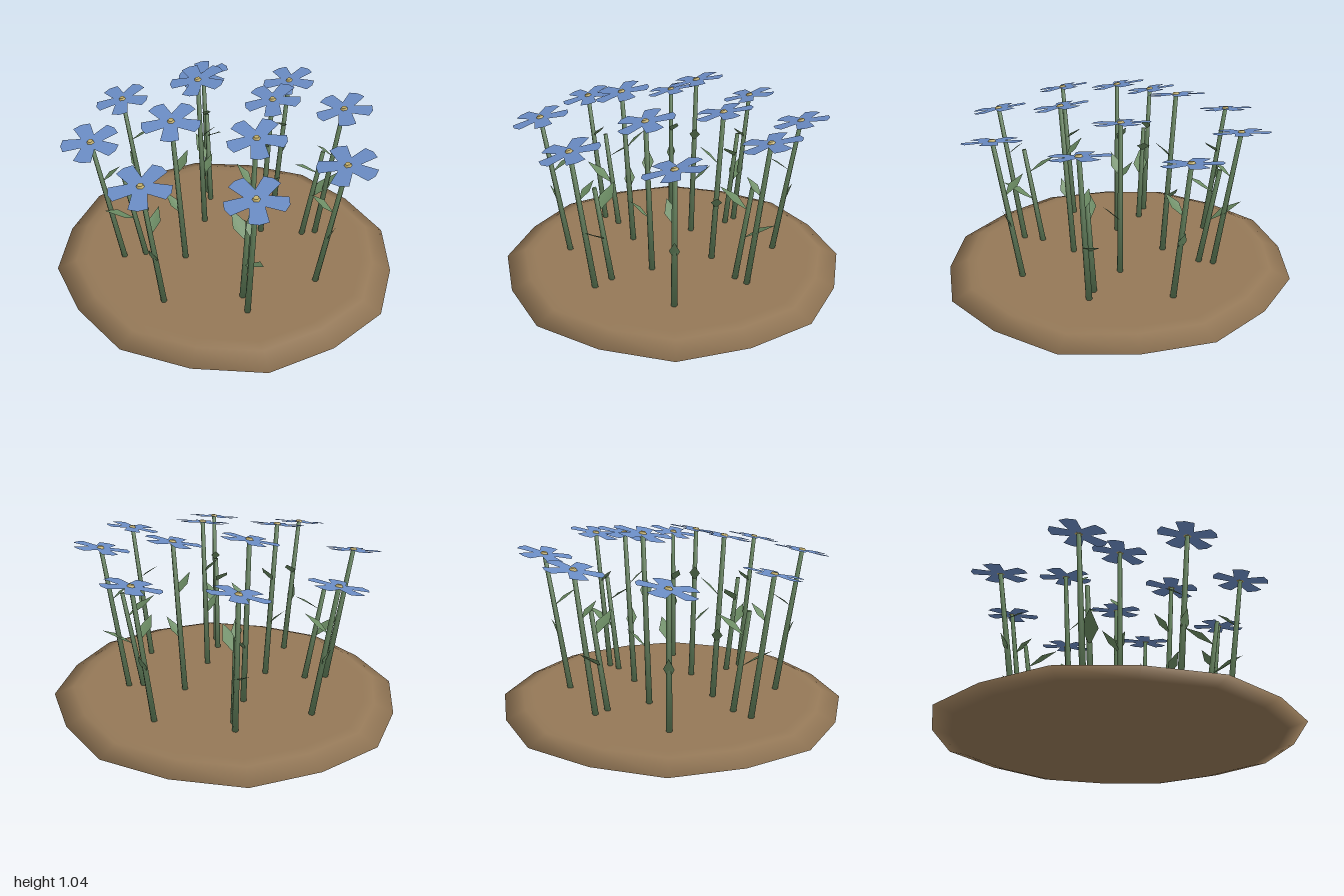
import * as THREE from 'three';

const mat = (name, color, side = THREE.FrontSide) => {
  const m = new THREE.MeshStandardMaterial({ color, side });
  m.name = name;
  return m;
};
const rad = THREE.MathUtils.degToRad;

export function createModel() {
  const soilMat = mat('soil brown', 0x947857);
  const stemMat = mat('stem green', 0x5f7d58);
  const leafMat = mat('leaf green', 0x6a8a62, THREE.DoubleSide);
  const petalMat = mat('petal blue', 0x6a8cc4, THREE.DoubleSide);
  const heartMat = mat('heart yellow', 0xc4b06c);

  const model = new THREE.Group();
  model.name = 'flowerPatch';
  const add = (parent, geometry, material, name) => {
    const mesh = new THREE.Mesh(geometry, material);
    mesh.name = name;
    parent.add(mesh);
    return mesh;
  };

  // Soil disc: 16-sided, slightly oval, with a bevelled rim
  const profile = [[0, 0], [0.9, 0], [1, 0.027], [0.89, 0.07], [0.83, 0.072], [0, 0.072]];
  const soil = new THREE.LatheGeometry(profile.map(([r, y]) => new THREE.Vector2(r, y)), 16);
  const sp = soil.attributes.position;
  for (let i = 0; i < sp.count; i++) {
    const k = Math.floor(i / profile.length) % 2 ? 0.975 : 1;
    sp.setXYZ(i, sp.getX(i) * k, sp.getY(i), sp.getZ(i) * k * 0.967);
  }
  add(model, soil, soilMat, 'soil');

  // Five blunt petals in one flat star
  const star = new THREE.Shape();
  for (let i = 0; i < 5; i++) {
    for (const [r, a] of [[0.062, -36], [0.152, -18], [0.157, 0], [0.152, 18]]) {
      const t = rad(i * 72 + a);
      star[i + a === -36 ? 'moveTo' : 'lineTo'](r * Math.cos(t), r * Math.sin(t));
    }
  }
  star.closePath();
  const petalGeo = new THREE.ShapeGeometry(star).rotateX(-Math.PI / 2);
  const heartGeo = new THREE.CylinderGeometry(0.014, 0.021, 0.012, 6);

  // Diamond leaf with a light fold, growing along +x
  const leafGeo = new THREE.BufferGeometry();
  leafGeo.setAttribute('position', new THREE.Float32BufferAttribute(
    [0, 0, 0, 0.09, 0.006, 0.036, 0.175, 0, 0, 0.08, 0.006, -0.036], 3));
  leafGeo.setIndex([0, 1, 2, 0, 2, 3]);
  leafGeo.computeVertexNormals();

  // Tapered stem between two points, its normals easing down at the foot and up at the top
  const UP = new THREE.Vector3(0, 1, 0);
  function addStem(parent, from, to) {
    const dir = to.clone().sub(from);
    const geo = new THREE.CylinderGeometry(0.012, 0.017, dir.length(), 6);
    const { position, normal } = geo.attributes;
    const n = new THREE.Vector3();
    for (let i = 0; i < position.count; i++) {
      n.fromBufferAttribute(normal, i);
      if (Math.abs(n.y) > 0.9) continue;
      n.y = Math.sign(position.getY(i)) * 0.6;
      n.normalize();
      normal.setXYZ(i, n.x, n.y, n.z);
    }
    const stem = add(parent, geo, stemMat, 'stem');
    stem.quaternion.setFromUnitVectors(UP, dir.normalize());
    stem.position.copy(from).add(to).multiplyScalar(0.5);
  }

  // Plant leaning outwards; each leaf is [height, heading, rise, scale] in degrees
  function addPlant(name, x, y, z, leaves) {
    const plant = new THREE.Group();
    plant.name = name;
    const foot = new THREE.Vector3(x * 0.83, 0.05, z * 0.83);
    const top = new THREE.Vector3(x, y, z);
    addStem(plant, foot, top);
    for (const [h, heading, rise, scale] of leaves) {
      const leaf = add(plant, leafGeo, leafMat, 'leaf');
      leaf.position.lerpVectors(foot, top, (h - 0.05) / (y - 0.05));
      leaf.rotation.set(0, -rad(heading), rad(rise), 'YXZ');
      leaf.scale.setScalar(scale);
    }
    model.add(plant);
    return plant;
  }

  // Flower: a plant with a head tipped towards the front; spin in degrees
  function addFlower([x, y, z, spin], leaves) {
    const plant = addPlant('flower', x, y, z, leaves);
    const head = new THREE.Group();
    head.name = 'flowerHead';
    head.position.set(x, y, z);
    head.rotation.set(0.2, 0, z > 0.05 ? -0.07 : 0.06);
    const petals = add(head, petalGeo, petalMat, 'petals');
    petals.rotation.y = -rad(spin);
    add(head, heartGeo, heartMat, 'heart').position.y = 0.005;
    plant.add(head);
  }

  // Each row is in quarter-turn order: x, height, z, spin
  const outer = [[0.72, 0.87, 0, 8], [0, 0.88, 0.715, -15], [-0.72, 0.825, 0, -15], [0, 0.855, -0.7, 0]];
  const corner = [[0.5, 0.875, 0.5, -18], [-0.505, 0.85, 0.505, -5], [-0.47, 0.86, -0.47, 15], [0.47, 0.9, -0.47, -15]];
  const inner = [[0.28, 0.95, 0.14, -20], [-0.145, 0.98, 0.28, -15], [-0.275, 1.01, -0.14, 0], [0.135, 0.95, -0.265, -13]];
  for (let q = 0; q < 4; q++) {
    const a = q * 90;
    addFlower(outer[q], [[0.56, a + 163, 36, 0.9], [0.36, a, 68, 0.75]]);
    addFlower(corner[q], [[0.6, a + 225, 40, 0.75]]);
    addFlower(inner[q], [[0.39, a + 90, 45, 0.85], [0.65, a + 180, 45, 0.85]]);

    // Flowerless sprig inside each corner flower
    const t = rad(a + 45);
    addPlant('sprig', 0.565 * Math.cos(t), 0.64, 0.565 * Math.sin(t),
      [[0.5, a + 207, 33, 1.1], [0.33, a + 27, 33, 1.2]]);
  }
  return model;
}
